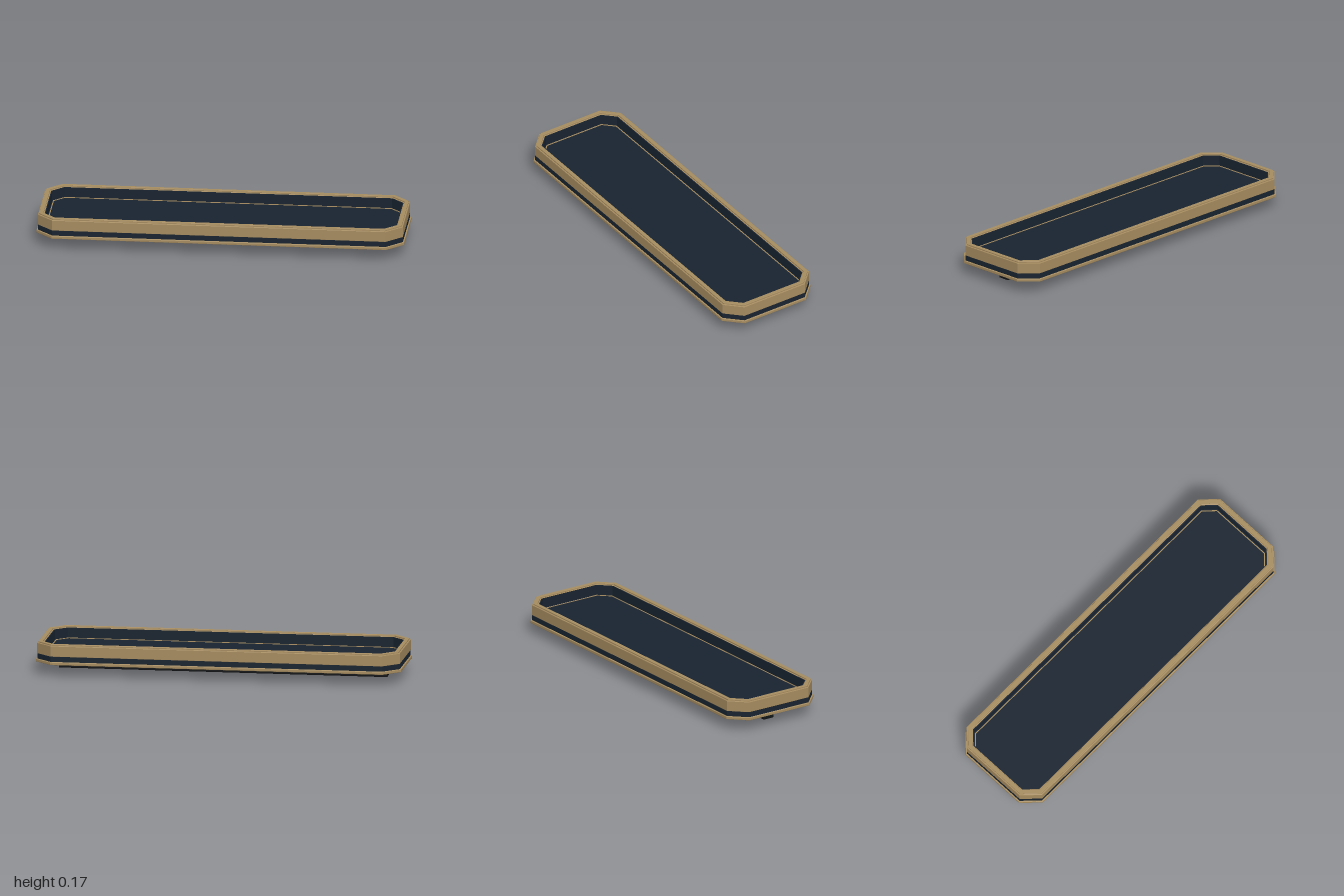
import * as THREE from 'three';
import { RoundedBoxGeometry } from 'three/addons/geometries/RoundedBoxGeometry.js';

const gold = new THREE.MeshStandardMaterial({ color: 0xa68c60 });
const navy = new THREE.MeshStandardMaterial({ color: 0x182330 });
const black = new THREE.MeshStandardMaterial({ color: 0x121517 });

// Chamfered-corner rectangle, moved inward by d from the full outline
function octagon(d, Type = THREE.Shape) {
  const x = 1 - d, z = 0.29 - d, c = 0.09 - d * (2 - Math.SQRT2);
  return new Type([
    [x, -z + c], [x, z - c], [x - c, z], [-x + c, z],
    [-x, z - c], [-x, -z + c], [-x + c, -z], [x - c, -z],
  ].map(([a, b]) => new THREE.Vector2(a, b)));
}

// Solid plate, or a ring when an inner inset is given, from y0 to y1
function layer(name, material, y0, y1, outer, inner = 0, bevel = 0) {
  const shape = octagon(outer);
  if (inner) shape.holes.push(octagon(inner, THREE.Path));
  const geometry = new THREE.ExtrudeGeometry(shape, {
    depth: y1 - y0 - 2 * bevel,
    bevelEnabled: bevel > 0,
    bevelThickness: bevel,
    bevelSize: bevel,
    bevelOffset: -bevel,
    bevelSegments: 2,
  });
  geometry.rotateX(-Math.PI / 2);
  const mesh = new THREE.Mesh(geometry, material);
  mesh.name = name;
  mesh.position.y = y0 + bevel;
  return mesh;
}

function block(name, material, w, y0, y1, d, x = 0) {
  const mesh = new THREE.Mesh(new RoundedBoxGeometry(w, y1 - y0, d, 2, 0.004), material);
  mesh.name = name;
  mesh.position.set(x, (y0 + y1) / 2, 0);
  return mesh;
}

export function createModel() {
  const group = new THREE.Group();
  group.name = 'tray';

  // Body: its top is the tray floor, its side the dark band
  group.add(layer('trayBody', navy, 0.065, 0.11, 0.0075));

  // Metal trim around the foot, side wall and top edge
  group.add(layer('baseLip', gold, 0.063, 0.08, 0, 0.014, 0.003));
  group.add(layer('rimWall', gold, 0.107, 0.168, 0.007, 0.042, 0.003));
  group.add(layer('rimCap', gold, 0.165, 0.175, 0.014, 0.036, 0.002));

  // Dark inner wall and the fine inlay line on the floor
  group.add(layer('innerWall', navy, 0.105, 0.166, 0.041, 0.047));
  group.add(layer('floorInlay', gold, 0.108, 0.113, 0.052, 0.057));

  // Mounting rail and its two clips underneath
  group.add(block('rail', black, 1.8, 0, 0.068, 0.066));
  for (const side of [-1, 1]) {
    group.add(block(side > 0 ? 'leftClip' : 'rightClip', navy, 0.15, 0.016, 0.068, 0.12, side * 0.655));
  }
  return group;
}
